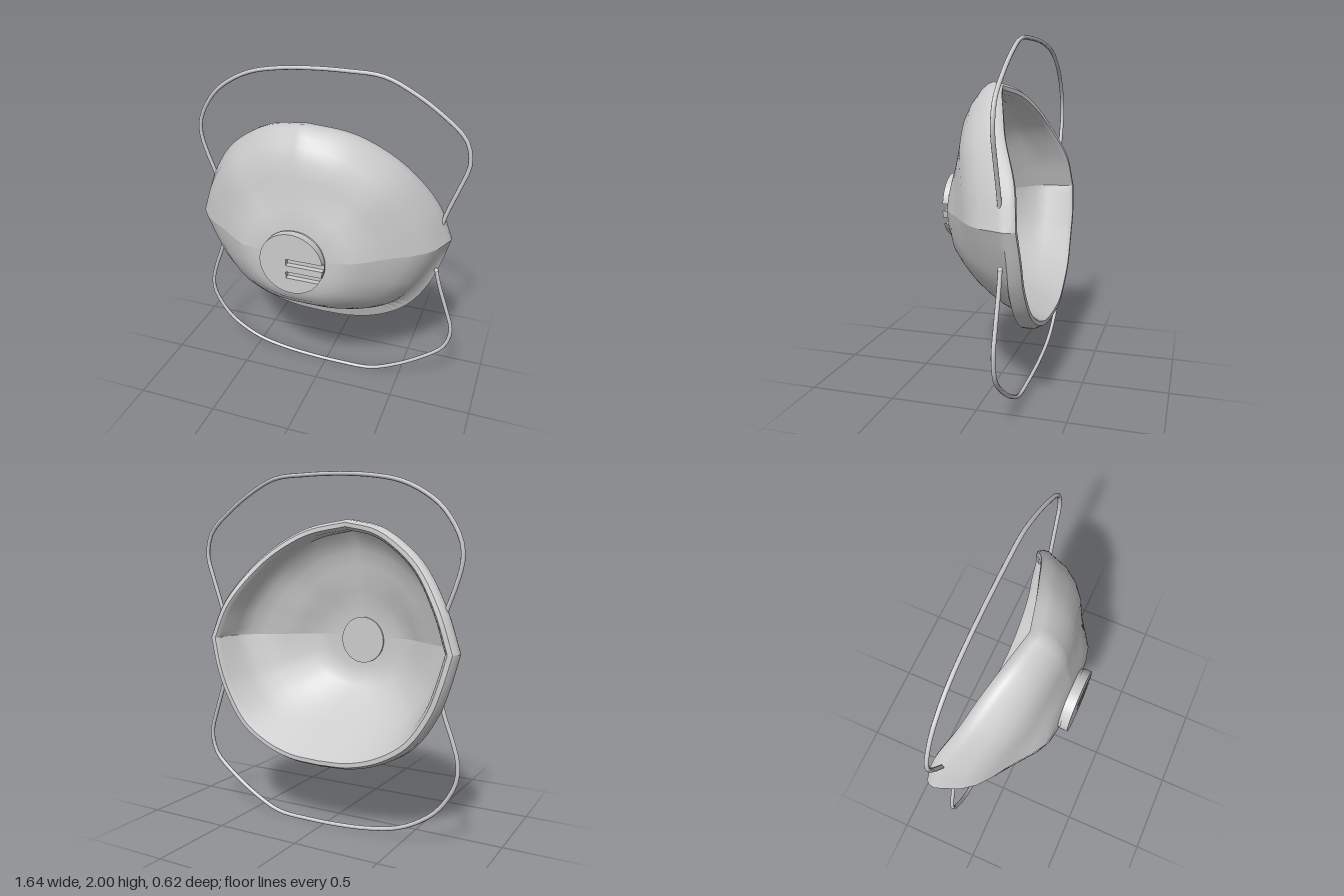
import * as THREE from 'three';
import { toCreasedNormals } from 'three/addons/utils/BufferGeometryUtils.js';

const CX = -0.035, CY = 1.06, FRONT = 0.26;
const V = (x, y, z) => new THREE.Vector3(x, y, z);

// Rim of the cup from its side corner to the top and to the bottom (x from the centre line)
const UPPER = [[0.785, 1.06, -0.22], [0.70, 1.275, -0.19], [0.54, 1.5, -0.1], [0.38, 1.63, -0.045], [0.22, 1.712, 0.005], [0, 1.757, 0.06]];
const LOWER = [[0.785, 1.06, -0.22], [0.735, 0.88, -0.225], [0.675, 0.73, -0.22], [0.55, 0.55, -0.22], [0.38, 0.44, -0.22], [0.195, 0.385, -0.225], [0, 0.373, -0.225]];

// Depth of the cup against distance from its centre, towards the side, top and bottom
const RADII = [0, 0.2, 0.32, 0.42, 0.52, 0.65, 0.78, 0.88, 0.95, 1];
const SIDE = [0, 0.01, 0.02, 0.06, 0.17, 0.34, 0.48, 0.62, 0.78, 1];
const TOP = [0, 0.02, 0.07, 0.14, 0.22, 0.29, 0.38, 0.55, 0.75, 1];
const BOTTOM = [0, 0.005, 0.01, 0.035, 0.09, 0.27, 0.5, 0.71, 0.87, 1];
// Rolled lip: scale of the rim and shift in z
const LIP = [[1, 0], [0.995, -0.035], [0.97, -0.058], [0.935, -0.058], [0.91, -0.035]];

// One half of the cup: outer skin, rolled lip, inner skin; the halves meet in a crease
function cupHalf(upper) {
  const curve = new THREE.CatmullRomCurve3((upper ? UPPER : LOWER).map(p => V(...p)), false, 'centripetal');
  const N = 56, pos = [], idx = [];
  const prof = upper ? TOP : BOTTOM;
  let rings = 0;
  for (let j = 0; j <= N; j++) {
    const t = 1 - 2 * j / N;
    const p = curve.getPoint(1 - Math.abs(t));
    const dx = p.x * Math.sign(t) * (upper ? 1 : -1), dy = p.y - CY;
    const s = Math.abs(dy) / Math.hypot(dx, dy);
    const low = upper ? 0 : s;
    const q = 0.985 - 0.115 * low;
    const edgeZ = p.z + 0.03;
    const column = [];
    const skin = (i, k, dz) => {
      const f = RADII[i];
      const w = THREE.MathUtils.lerp(s * s, s, f);
      // fuller diagonals give the front its rounded square plateau
      const full = 1 - (upper ? 0.5 : 1) * s * (1 - s) * (1 - f);
      const d = THREE.MathUtils.lerp(SIDE[i], prof[i], w) * full;
      column.push([f * q * k, FRONT + (edgeZ - FRONT) * d + dz]);
    };
    for (let i = 0; i < RADII.length; i++) skin(i, 1, 0);
    for (const [k, dz] of LIP) column.push([k, p.z + dz * (1 + 0.45 * low)]);
    for (let i = RADII.length - 2; i >= 0; i--) skin(i, 0.97, -0.022);
    rings = column.length;
    for (const [k, z] of column) pos.push(CX + dx * k, CY + dy * k, z);
  }
  for (let j = 0; j < N; j++) {
    for (let i = 0; i < rings - 1; i++) {
      const a = j * rings + i, b = a + 1, d = a + rings, c = d + 1;
      if (i < rings - 2) idx.push(a, b, c);
      else idx.push(a, b, d);
      if (i > 0 && i < rings - 2) idx.push(a, c, d);
    }
  }
  const g = new THREE.BufferGeometry();
  g.setAttribute('position', new THREE.Float32BufferAttribute(pos, 3));
  g.setIndex(idx);
  return toCreasedNormals(g, 0.75);
}

// Valve cover: disc with two slots open towards one side
function valveCover() {
  const r = 0.185, s = new THREE.Shape();
  const edge = y => Math.sqrt(r * r - y * y);
  const slots = [[-0.092, -0.052], [-0.012, 0.028]];
  s.absarc(0, 0, r, Math.asin(slots[1][1] / r), Math.PI * 2 + Math.asin(slots[0][0] / r), false);
  s.lineTo(-0.03, slots[0][0]);
  s.lineTo(-0.03, slots[0][1]);
  s.lineTo(edge(slots[0][1]), slots[0][1]);
  s.lineTo(edge(slots[1][0]), slots[1][0]);
  s.lineTo(-0.03, slots[1][0]);
  s.lineTo(-0.03, slots[1][1]);
  s.closePath();
  return new THREE.ExtrudeGeometry(s, { depth: 0.033, bevelEnabled: false, curveSegments: 48 });
}

const STRAP = [
  [0.685, 1.14], [0.715, 1.25], [0.77, 1.41], [0.807, 1.53], [0.803, 1.61], [0.77, 1.69], [0.63, 1.81],
  [0.46, 1.915], [0.31, 1.977], [0.1, 1.988], [-0.1, 1.984], [-0.283, 1.968], [-0.45, 1.935], [-0.575, 1.88],
  [-0.70, 1.785], [-0.795, 1.63], [-0.807, 1.524], [-0.775, 1.40], [-0.733, 1.286], [-0.71, 1.21]];

export function createModel() {
  const model = new THREE.Group();
  const mat = new THREE.MeshStandardMaterial({ color: 0xcccccc, side: THREE.DoubleSide });
  const add = (name, geometry, parent) => {
    const m = new THREE.Mesh(geometry, mat);
    m.name = name;
    parent.add(m);
    return m;
  };
  const group = name => {
    const g = new THREE.Group();
    g.name = name;
    model.add(g);
    return g;
  };

  // Cup
  const cup = group('cup');
  add('upperCup', cupHalf(true), cup);
  add('lowerCup', cupHalf(false), cup);

  // Exhalation valve
  const valve = group('valve');
  valve.position.set(CX, 1.037, 0);
  add('valveCover', valveCover(), valve).position.z = 0.28;
  const disc = (name, r, depth, z) => {
    const m = add(name, new THREE.CylinderGeometry(r, r, depth, 48), valve);
    m.rotation.x = Math.PI / 2;
    m.position.z = z;
  };
  disc('valveBase', 0.185, 0.014, 0.274);
  disc('valveNeck', 0.18, 0.03, 0.256);
  disc('valveBackPlate', 0.14, 0.016, 0.232);

  // Elastic straps with end knobs inside the cup, mirrored about mid height
  for (const [name, flip] of [['upperStrap', false], ['lowerStrap', true]]) {
    const strap = group(name);
    const pts = STRAP.map(([x, y]) => V(x, flip ? 2 - y : y, -0.19));
    add(name + 'Cord', new THREE.TubeGeometry(new THREE.CatmullRomCurve3(pts), 60, 0.012, 8), strap);
    for (const end of [pts[0], pts[pts.length - 1]]) {
      add(name + 'Knob', new THREE.SphereGeometry(0.014, 10, 8), strap).position.copy(end);
    }
  }
  return model;
}
